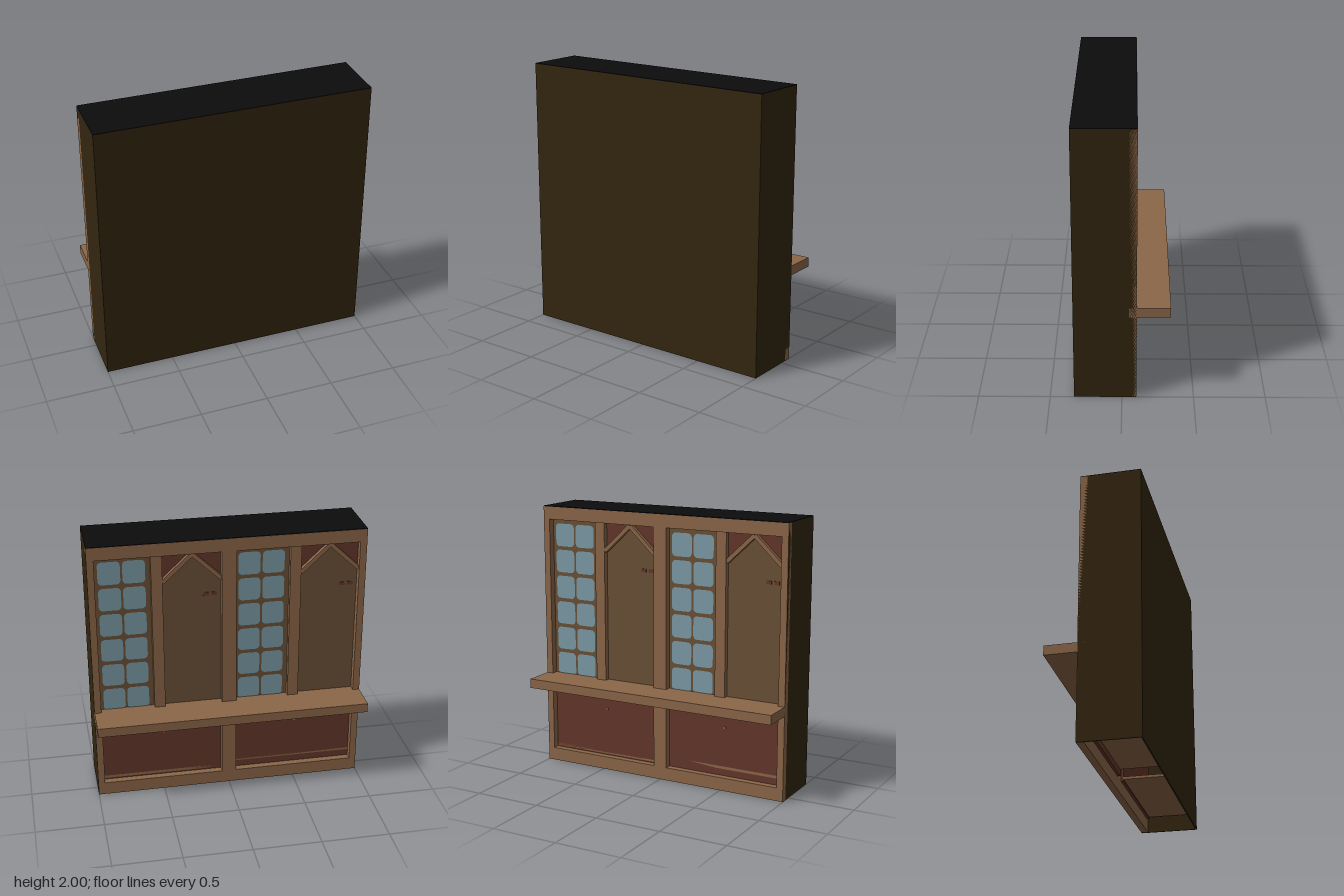
import * as THREE from 'three';

const mat = (name, color) => {
  const m = new THREE.MeshStandardMaterial({ color });
  m.name = name;
  return m;
};

export function createModel() {
  const model = new THREE.Group();
  model.name = 'timberWall';
  const shell = mat('dark umber', 0x33250f);
  const black = mat('black', 0x0c0c0c);
  const wood = mat('oak', 0x8b6648);
  const plank = mat('dull plank', 0x6a5036);
  const red = mat('brick red', 0x633629);
  const glass = mat('pale glass', 0x7b9aa6);
  glass.side = red.side = THREE.DoubleSide;

  // box given by its low and high limits on each axis
  function box(name, m, x0, x1, y0, y1, z0, z1, parent = model) {
    const mesh = new THREE.Mesh(new THREE.BoxGeometry(x1 - x0, y1 - y0, z1 - z0), m);
    mesh.position.set((x0 + x1) / 2, (y0 + y1) / 2, (z0 + z1) / 2);
    mesh.name = name;
    parent.add(mesh);
    return mesh;
  }

  // outer shell, open underneath
  box('outerWall', shell, -1, 1, 0, 1.995, 0.323, 0.333);
  for (const s of [-1, 1])
    box('sideWall', shell, Math.min(s, s * 0.992), Math.max(s, s * 0.992), 0, 1.995, -0.1, 0.323);
  box('topCover', black, -1, 1, 1.995, 2, -0.1, 0.333);

  // oak frame and shelf
  const front = -0.102, back = -0.05;
  box('topRail', wood, -1, 1, 1.9, 1.995, front, back);
  box('bottomRail', wood, -1, 1, 0.002, 0.1, front, back);
  box('middlePost', wood, -0.053, 0.053, 0.1, 1.9, front, back);
  for (const s of [-1, 1])
    box('edgePost', wood, s * 0.975 - 0.025, s * 0.975 + 0.025, 0.1, 1.9, front, back);
  box('shelf', wood, -1, 1, 0.635, 0.705, -0.333, back);

  // window pane with rounded corners
  const w = 0.16, h = 0.172, r = 0.03;
  const outline = new THREE.Shape();
  outline.absarc(w / 2 - r, h / 2 - r, r, 0, Math.PI / 2);
  outline.absarc(r - w / 2, h / 2 - r, r, Math.PI / 2, Math.PI);
  outline.absarc(r - w / 2, r - h / 2, r, Math.PI, Math.PI * 1.5);
  outline.absarc(w / 2 - r, r - h / 2, r, Math.PI * 1.5, Math.PI * 2);
  const paneGeometry = new THREE.ShapeGeometry(outline, 3);

  // a bay is 0.9 wide; its x runs from 0 (window side) to -0.9 (plank side)
  function bay(startX, floorY) {
    const g = new THREE.Group();
    g.name = 'bay';
    g.position.x = startX;
    model.add(g);
    box('upperBoard', plank, -0.9, 0, 0.7, 1.9, -0.05, -0.03, g);
    box('lowerPanel', red, -0.9, 0, 0.1, 0.64, -0.05, -0.03, g);
    box('panelKnob', wood, -0.47, -0.455, 0.46, 0.475, -0.056, -0.05, g);
    box('bayFloor', wood, -0.9, 0, floorY, floorY + 0.02, -0.05, 0.323, g);

    // two columns of six panes
    for (const x of [-0.105, -0.28])
      for (let i = 0; i < 6; i++) {
        const pane = new THREE.Mesh(paneGeometry, glass);
        pane.name = 'windowPane';
        pane.rotation.y = Math.PI;
        pane.position.set(x, 0.785 + i * 0.199, -0.054);
        g.add(pane);
      }

    // post between window and planks
    box('bayPost', wood, -0.475, -0.395, 0.7, 1.9, -0.09, -0.05, g);

    // gable struts and the red corners above them
    const apex = -0.6875, top = 1.9, footY = 1.7;
    for (const footX of [-0.475, -0.9]) {
      const dx = apex - footX, dy = top - footY;
      const strut = new THREE.Mesh(new THREE.BoxGeometry(Math.hypot(dx, dy), 0.03, 0.035), wood);
      strut.name = 'gableStrut';
      strut.position.set((apex + footX) / 2, (top + footY) / 2 - 0.008, -0.068);
      strut.rotation.z = Math.atan2(dy, dx);
      g.add(strut);
      const corner = new THREE.Shape([
        new THREE.Vector2(footX, footY), new THREE.Vector2(apex, top), new THREE.Vector2(footX, top)]);
      const infill = new THREE.Mesh(new THREE.ShapeGeometry(corner), red);
      infill.name = 'gableInfill';
      infill.position.z = -0.053;
      g.add(infill);
    }

    // small bare patches in the planks
    for (const x of [-0.79, -0.85])
      box('barePatch', red, x - 0.02, x + 0.02, 1.555, 1.58, -0.054, -0.05, g);
  }
  bay(0.95, 0.11);
  bay(-0.05, 0.15);

  return model;
}
